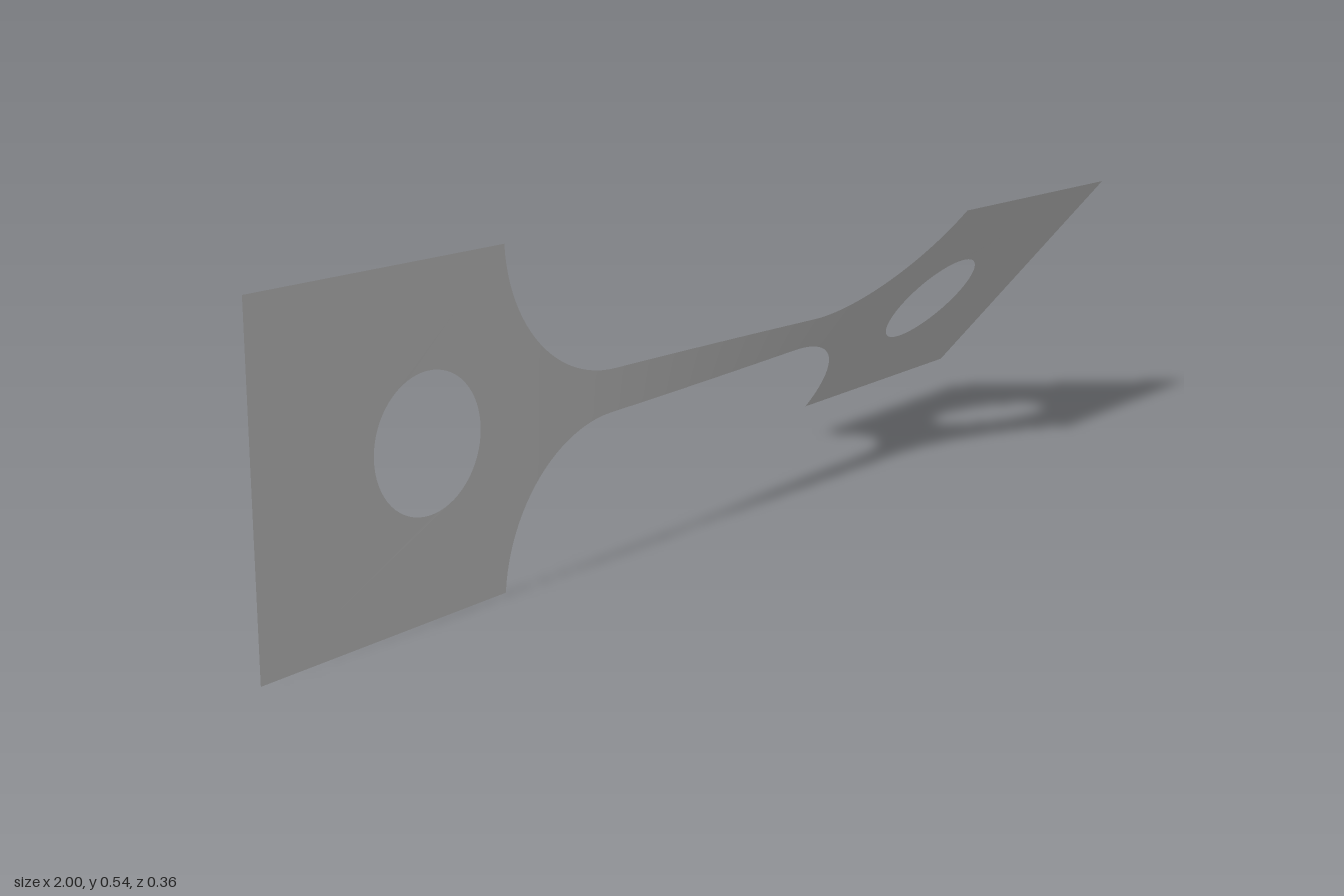
import * as THREE from 'three';

const MID_Y = 0.271;          // height of the long axis
const TAB = 0.27;             // half height of the end tabs
const NECK = 0.037;           // half height of the thin bar
const NECK_X = 0.26;          // where the fillets start
const R = 0.25;               // fillet radius
const TAB_X = NECK_X + Math.sqrt(R * R - (NECK + R - TAB) ** 2);
const TOTAL_TWIST = THREE.MathUtils.degToRad(41.5);

// Half height of the sheet along its length
function halfHeight(x) {
  const d = Math.abs(x) - NECK_X;
  if (d <= 0) return NECK;
  if (Math.abs(x) >= TAB_X) return TAB;
  return NECK + R - Math.sqrt(R * R - d * d);
}

// Twist angle: the narrower the sheet, the faster it turns
const STEPS = 800;
const twist = [0];
for (let i = 0; i < STEPS; i++) {
  const x = -1 + (2 * (i + 0.5)) / STEPS;
  twist.push(twist[i] + halfHeight(x) ** -1.5);
}
function angleAt(x) {
  const t = THREE.MathUtils.clamp((x + 1) / 2, 0, 1) * STEPS;
  const i = Math.min(Math.floor(t), STEPS - 1);
  return (TOTAL_TWIST * THREE.MathUtils.lerp(twist[i], twist[i + 1], t - i)) / twist[STEPS];
}

// Turn a flat geometry about the long axis, top edge towards +z
function twistGeometry(geometry) {
  const p = geometry.attributes.position;
  for (let i = 0; i < p.count; i++) {
    const x = p.getX(i), y = p.getY(i), a = angleAt(x);
    p.setXYZ(i, x, MID_Y + y * Math.cos(a), y * Math.sin(a));
  }
  geometry.computeVertexNormals();
  return geometry;
}

// Square end tab with a round hole
function tabGeometry(side) {
  const xs = [side * TAB_X, side].sort((a, b) => a - b);
  const shape = new THREE.Shape([
    new THREE.Vector2(xs[0], -TAB), new THREE.Vector2(xs[1], -TAB),
    new THREE.Vector2(xs[1], TAB), new THREE.Vector2(xs[0], TAB),
  ]);
  const hole = new THREE.Path();
  hole.absarc(side * 0.67, 0, 0.108, 0, Math.PI * 2, true);
  shape.holes.push(hole);
  return twistGeometry(new THREE.ShapeGeometry(shape, 32));
}

// Thin bar with its flared ends, columns spaced evenly around each fillet
function barGeometry() {
  const columns = [];
  const end = Math.asin((TAB_X - NECK_X) / R);
  const maxAngle = Math.acos((NECK + R - TAB) / R);
  for (let i = 0; i <= 24; i++) {
    const a = (maxAngle * (24 - i)) / 24;
    columns.push([-NECK_X - R * Math.sin(Math.min(a, end)), NECK + R - R * Math.cos(a)]);
  }
  for (let i = 1; i < 40; i++) columns.push([-NECK_X + (2 * NECK_X * i) / 40, NECK]);
  for (let i = 24; i >= 0; i--) columns.push([-columns[i][0], columns[i][1]]);

  const geometry = new THREE.PlaneGeometry(2, 2, columns.length - 1, 8);
  const p = geometry.attributes.position;
  for (let i = 0; i < p.count; i++) {
    const [x, h] = columns[i % columns.length];
    p.setXY(i, x, p.getY(i) * h);
  }
  return twistGeometry(geometry);
}

export function createModel() {
  const group = new THREE.Group();
  group.name = 'twistedTestStrip';
  const grey = new THREE.MeshStandardMaterial({ color: 0xbfbfbf, side: THREE.DoubleSide });
  grey.name = 'grey metal';

  const add = (name, geometry) => {
    const mesh = new THREE.Mesh(geometry, grey);
    mesh.name = name;
    group.add(mesh);
  };
  add('rightTab', tabGeometry(-1));
  add('twistedBar', barGeometry());
  add('leftTab', tabGeometry(1));
  return group;
}
